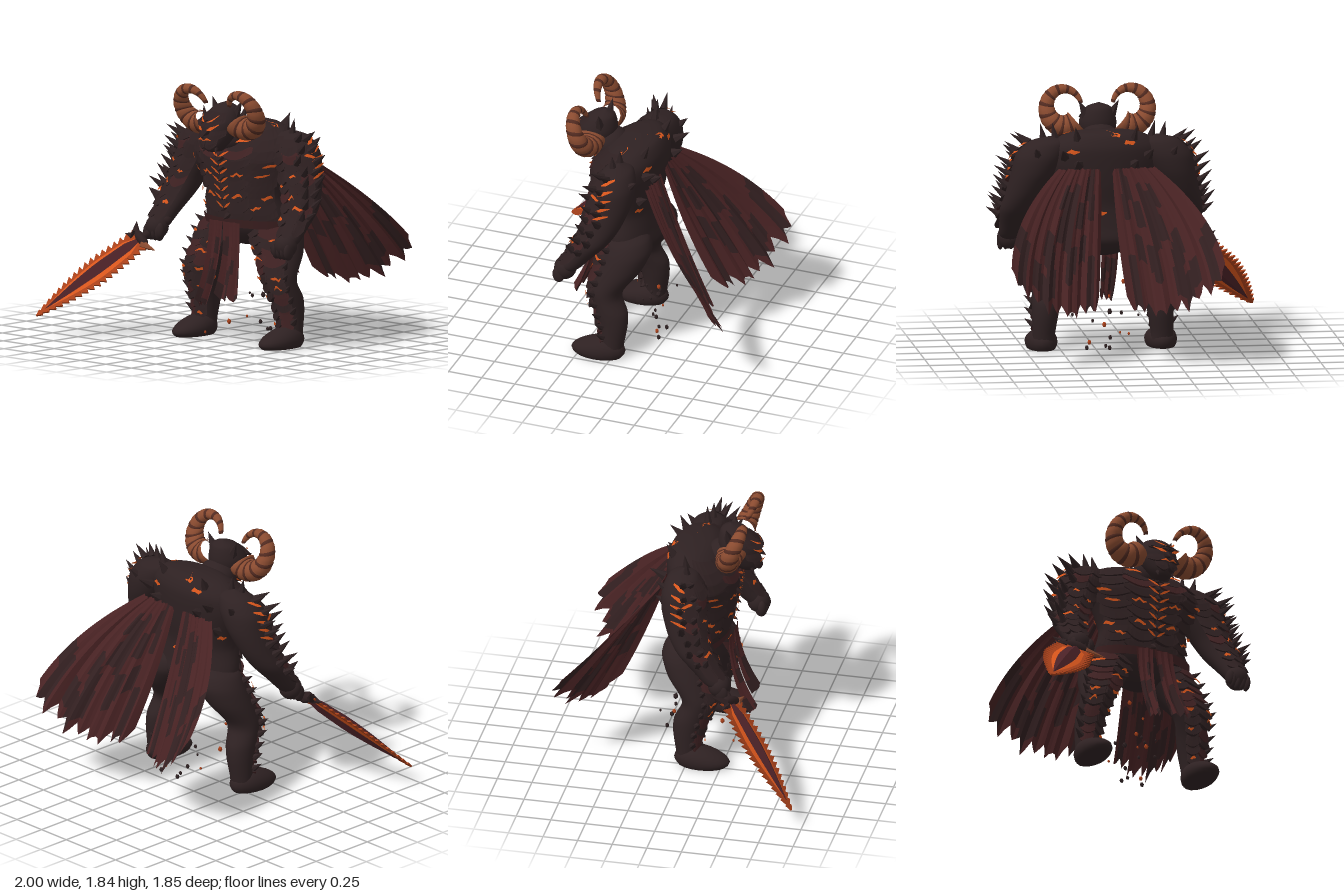
import * as THREE from 'three';
import { mergeGeometries } from 'three/addons/utils/BufferGeometryUtils.js';

const V = (x, y, z) => new THREE.Vector3(x, y, z);
const mat = (name, color, side = THREE.FrontSide) => {
  const m = new THREE.MeshStandardMaterial({ color, side });
  m.name = name;
  return m;
};

// Grid surface from a rule; u runs rightwards and v downwards when seen from outside
function grid(fn, nu, nv, closed = false, keep = () => true) {
  const pos = [], idx = [], cols = closed ? nu : nu + 1;
  for (let j = 0; j <= nv; j++) for (let i = 0; i < cols; i++) pos.push(...fn(i / nu, j / nv).toArray());
  for (let j = 0; j < nv; j++) for (let i = 0; i < nu; i++) {
    if (!keep(i, j)) continue;
    const a = j * cols + i, b = j * cols + (i + 1) % cols, c = a + cols, d = b + cols;
    idx.push(a, c, b, b, c, d);
  }
  const g = new THREE.BufferGeometry();
  g.setAttribute('position', new THREE.Float32BufferAttribute(pos, 3));
  g.setIndex(idx);
  g.computeVertexNormals();
  return g;
}
const flat = (g) => { const f = g.index ? g.toNonIndexed() : g; f.computeVertexNormals(); return f; };

// Body volume from horizontal rings [x, y, z, rx, rz], listed from the top down
function loft(rings) {
  const mid = new THREE.CatmullRomCurve3(rings.map((r) => V(r[0], r[1], r[2])), false, 'catmullrom', 0.4);
  const rad = new THREE.CatmullRomCurve3(rings.map((r) => V(r[3], r[4], 0)), false, 'catmullrom', 0.4);
  const atT = (t, a, off = 0) => {
    const c = mid.getPoint(t), r = rad.getPoint(t);
    return V(c.x + (r.x + off) * Math.sin(a), c.y, c.z + (r.y + off) * Math.cos(a));
  };
  const at = (y, a, off) => {
    let lo = 0, hi = 1;
    for (let k = 0; k < 18; k++) { const m = (lo + hi) / 2; if (mid.getPoint(m).y > y) lo = m; else hi = m; }
    return atT(lo, a, off);
  };
  return { at, geo: grid((u, v) => atT(v, u * Math.PI * 2), 28, 40, true) };
}

// Overlapping armour scale that lifts off the body towards its pointed lower edge
const plate = (body, y, h, a0, a1, flare = 0.03, slant = 0) => flat(grid((u, v) => {
  const k = Math.min(1, v * 1.5), off = v > 0.9 ? -0.005 : 0.004 + flare * k;
  return body.at(y + slant * u - k * h * (0.8 + 0.4 * Math.sin(Math.PI * u)), a0 + (a1 - a0) * u, off);
}, 6, 3));

// Thin zigzag strip on the body through points [angle, y]
const crack = (body, pts, half, lift) => flat(grid((u, v) => {
  const [a, y] = pts[Math.round(u * (pts.length - 1))];
  const w = u === 0 || u === 1 ? half * 0.3 : half;
  return body.at(y + (v < 0.5 ? w : -w), a, lift);
}, pts.length - 1, 1));

function spike(p, dir, len, r) {
  const g = new THREE.ConeGeometry(r, len, 6).translate(0, len * 0.42, 0);
  g.applyQuaternion(new THREE.Quaternion().setFromUnitVectors(V(0, 1, 0), dir.clone().normalize()));
  return flat(g.translate(p.x, p.y, p.z));
}
const ball = (x, y, z, rx, ry, rz) => new THREE.SphereGeometry(1, 18, 12).scale(rx, ry, rz).translate(x, y, z);

function mirror(g) {
  const m = g.clone().applyMatrix4(new THREE.Matrix4().makeScale(-1, 1, 1));
  for (const at of Object.values(m.attributes)) for (let i = 0; i < at.count; i += 3) for (let k = 0; k < 3; k++) {
    const q = at.getComponent(i + 1, k);
    at.setComponent(i + 1, k, at.getComponent(i + 2, k));
    at.setComponent(i + 2, k, q);
  }
  return m;
}

export function createModel() {
  let seed = 7;
  const rnd = () => (seed = (seed * 16807) % 2147483647) / 2147483647;
  const D = THREE.DoubleSide;
  const hide = mat('hide', 0x2e2122), scale = mat('scale', 0x2d1f20, D), redScale = mat('redScale', 0x3d2021, D);
  const core = mat('bladeRed', 0x4a2126), cloth = mat('cloth', 0x482223, D), stain = mat('clothStain', 0x321f20, D);
  const lava = mat('lava', 0xd9561c, D), ember = mat('deepLava', 0xa8401a, D);
  const horn = mat('horn', 0x8a4b30), band = mat('hornBand', 0x512a20);

  const model = new THREE.Group();
  model.name = 'hornedWarrior';
  const body = new THREE.Group();
  body.name = 'body';
  body.position.x = 0.2;
  model.add(body);
  const add = (name, material, geos, both = false) => {
    const parts = [geos].flat().map((g) => { const n = g.index ? g.toNonIndexed() : g; n.deleteAttribute('uv'); return n; });
    if (!parts.length) return;
    const g = mergeGeometries(parts);
    const put = (n, geo) => { const m = new THREE.Mesh(geo, material); m.name = n; body.add(m); };
    put(both ? name + 'Left' : name, g);
    if (both) put(name + 'Right', mirror(g));
  };

  // Body volumes
  const torso = loft([[0, 1.585, -0.05, 0, 0], [0, 1.56, -0.04, 0.25, 0.13], [0, 1.47, -0.01, 0.39, 0.21], [0, 1.35, 0.02, 0.42, 0.24],
    [0, 1.2, 0.02, 0.36, 0.225], [0, 1.05, 0.02, 0.32, 0.2], [0, 0.9, 0, 0.35, 0.19], [0, 0.8, -0.02, 0.33, 0.18], [0, 0.7, -0.02, 0.12, 0.1], [0, 0.68, -0.02, 0, 0]]);
  const arm = loft([[0.38, 1.54, -0.03, 0, 0], [0.4, 1.5, -0.03, 0.13, 0.1], [0.45, 1.4, -0.02, 0.175, 0.15], [0.5, 1.27, -0.01, 0.155, 0.15],
    [0.56, 1.12, 0.03, 0.13, 0.135], [0.6, 1, 0.09, 0.12, 0.12], [0.62, 0.88, 0.18, 0.092, 0.095], [0.63, 0.8, 0.24, 0.075, 0.08], [0.63, 0.75, 0.27, 0.05, 0.05]]);
  const leg = loft([[0.2, 0.92, -0.04, 0.06, 0.08], [0.22, 0.87, -0.04, 0.16, 0.15], [0.25, 0.78, -0.04, 0.185, 0.175], [0.31, 0.65, 0, 0.16, 0.16], [0.36, 0.52, 0.06, 0.13, 0.12],
    [0.38, 0.45, 0.06, 0.115, 0.105], [0.4, 0.35, 0.02, 0.102, 0.115], [0.41, 0.25, 0, 0.092, 0.1], [0.42, 0.12, 0, 0.08, 0.08], [0.42, 0.04, 0, 0.08, 0.07]]);
  const head = loft([[0, 1.73, 0.22, 0, 0], [0, 1.69, 0.24, 0.09, 0.085], [0, 1.6, 0.27, 0.13, 0.135], [0, 1.52, 0.29, 0.125, 0.14],
    [0, 1.44, 0.33, 0.09, 0.1], [0, 1.39, 0.35, 0.05, 0.06], [0, 1.38, 0.35, 0, 0]]);
  add('torso', hide, torso.geo);
  add('head', hide, [head.geo, ball(0, 1.47, 0.17, 0.14, 0.12, 0.13)]);
  add('arm', hide, arm.geo, true);
  add('leg', hide, leg.geo, true);
  const foot = ball(0.425, 0.055, 0.11, 0.115, 0.105, 0.2);
  const fp = foot.attributes.position;
  for (let i = 0; i < fp.count; i++) fp.setY(i, Math.max(0, fp.getY(i) * (1 - 1.4 * Math.max(0, fp.getZ(i) - 0.04))));
  foot.computeVertexNormals();
  add('foot', hide, foot, true);

  // Fists with four curled fingers and a thumb
  const fist = [ball(0.63, 0.77, 0.28, 0.085, 0.085, 0.08), ball(0.56, 0.75, 0.32, 0.03, 0.055, 0.03)];
  for (let i = 0; i < 4; i++) fist.push(ball(0.575 + i * 0.038, 0.735, 0.31, 0.023, 0.06, 0.045));
  add('fist', hide, fist, true);

  // Rows of scales on the front and outer sides, with glowing cracks between them
  const armour = (name, part, yTop, yEnd, step, spans, flare, slant, crackRate) => {
    const main = [], red = [], glow = [];
    for (let y = yTop; y > yEnd; y -= step) for (const [a0, a1] of spans) {
      const j = (rnd() - 0.5) * step * 0.4;
      (rnd() < 0.2 ? red : main).push(plate(part, y + j, step * 1.25, a0, a1, flare * (0.7 + 0.6 * rnd()), slant));
      if (rnd() < crackRate) {
        const a = a0 + (a1 - a0) * (0.1 + 0.4 * rnd()), w = (a1 - a0) * (0.08 + 0.08 * rnd());
        const pts = [0, 1, 2, 3, 4].map((k) => [a + k * w, y - step * 0.6 + (rnd() - 0.5) * 0.026 + k * slant * 0.1]);
        glow.push(crack(part, pts, 0.007 + 0.005 * rnd(), flare + 0.014));
      }
    }
    add(name + 'Scales', scale, main, true);
    add(name + 'RedScales', redScale, red, true);
    add(name + 'Cracks', lava, glow, true);
  };
  armour('torso', torso, 1.5, 0.86, 0.08, [[0.03, 0.6], [0.5, 1.3]], 0.03, 0.04, 0.45);
  armour('arm', arm, 1.49, 0.86, 0.07, [[-0.7, 0.1], [0, 0.75], [0.65, 1.35]], 0.024, 0.01, 0.4);
  armour('leg', leg, 0.86, 0.16, 0.065, [[-0.8, 0.05], [-0.05, 0.95]], 0.03, 0.01, 0.5);

  // Glowing ribs at the breastbone, slashes on the shoulders, and cracks on the back
  const ribs = [], slashes = [], backCracks = [];
  for (let y = 1.36; y > 0.95; y -= 0.062) ribs.push(crack(torso, [[0.01, y - 0.018], [0.08, y], [0.18, y + 0.025]], 0.011, 0.052));
  add('breastboneGlow', lava, ribs, true);
  for (let y = 1.48; y > 1.24; y -= 0.058) slashes.push(crack(arm, [[1.25, y - 0.02], [1.5, y], [1.85, y + 0.02]], 0.013, 0.03));
  add('shoulderGlow', lava, slashes, true);
  for (const [a, y] of [[2.4, 1.44], [3.5, 1.5], [4.1, 1.15], [2.9, 1.0], [2.2, 1.1], [3.3, 1.555], [1.2, 1.555]])
    backCracks.push(crack(torso, [[a, y], [a + 0.08, y + 0.012], [a + 0.16, y + 0.002], [a + 0.26, y + 0.01]], 0.014, 0.008));
  add('backCracks', lava, backCracks);
  const knobs = [];
  for (let y = 1.4; y > 0.9; y -= 0.07) knobs.push(spike(torso.at(y, 0, 0.02), V(0, -0.5, 1), 0.06, 0.025));
  add('breastboneSpikes', scale, knobs);

  // Face
  add('faceScales', scale, [plate(head, 1.67, 0.07, 0.02, 0.9, 0.025, -0.01), plate(head, 1.6, 0.035, 0.02, 0.75, 0.035, 0.03),
    plate(head, 1.53, 0.05, 0.25, 1.1, 0.02, 0.02), plate(head, 1.47, 0.06, 0.05, 0.8, 0.025, 0.02), spike(V(0, 1.53, 0.43), V(0, -0.6, 1), 0.06, 0.03)], true);
  add('eye', lava, [crack(head, [[0.14, 1.545], [0.35, 1.56], [0.66, 1.59]], 0.015, 0.032), crack(head, [[0.08, 1.6], [0.3, 1.615], [0.55, 1.65]], 0.008, 0.036),
    crack(head, [[0, 1.47], [0.2, 1.485], [0.45, 1.475]], 0.008, 0.03)], true);
  add('browSpike', hide, [spike(V(0.09, 1.64, 0.23), V(0.5, 1, -0.1), 0.13, 0.04), spike(V(0.05, 1.42, 0.38), V(0.3, -1, 0.6), 0.06, 0.02)], true);

  // Curled ram horns with dark bands
  const hornBand = (t0, t1) => grid((u, v) => {
    const t = t0 + (t1 - t0) * v, g = -2.3 + 5.2 * t, b = u * Math.PI * 2;
    const r = (0.088 - 0.074 * t) * (1 + 0.06 * Math.sin(Math.PI * v)), R = 0.125 + r * Math.cos(b);
    return V(0.235 + R * Math.cos(g), 1.68 + R * Math.sin(g), 0.305 + 0.05 * Math.sin(g) + r * 1.12 * Math.sin(b));
  }, 14, 3, true);
  const light = [], dark = [];
  for (let i = 0; i < 10; i++) { light.push(hornBand(i / 10, (i + 0.7) / 10)); dark.push(hornBand((i + 0.7) / 10, (i + 1) / 10)); }
  add('horn', horn, light, true);
  add('hornBands', band, dark, true);

  // Spikes on arms, shoulders, back and legs
  const spikes = [];
  for (let y = 1.49; y > 0.95; y -= 0.075) for (const a of [0.8, 1.4]) {
    const p = arm.at(y, a + (rnd() - 0.5) * 0.3, 0.015);
    spikes.push(spike(p, V(Math.sin(a), 0.5 + 0.4 * rnd(), Math.cos(a) * 0.6), 0.1 + 0.04 * rnd(), 0.03));
  }
  for (let y = 0.82; y > 0.15; y -= 0.08) spikes.push(spike(leg.at(y, 0.95, 0.01), V(1, 0.7, 0.4), 0.08, 0.026));
  for (const [x, y, z, l] of [[0.42, 1.5, 0, 0.14], [0.34, 1.51, -0.02, 0.14], [0.2, 1.53, -0.14, 0.12], [0.3, 1.42, -0.2, 0.12], [0.48, 1.42, -0.14, 0.1], [0.36, 1.25, -0.18, 0.08], [0.2, 1.36, -0.22, 0.08]])
    spikes.push(spike(V(x, y, z), V(0.2, y > 1.49 ? 1 : 0.5, z * 4), l, 0.036));
  add('spikes', hide, spikes, true);

  // Torn cloth: top and middle edges are lines, the hem is a curve; stains take blocks of cells
  const drape = (name, top, mid, hem, folds, depth, both) => {
    const lerp = (e, u) => e[0].clone().lerp(e[1], u), curve = new THREE.QuadraticBezierCurve3(...hem);
    const n = folds * 4, rows = 16, stains = new Set();
    for (let k = 0; k < n * rows * 0.05; k++) {
      const i = Math.floor(rnd() * n), j = Math.floor(rnd() * rows);
      for (let q = 0; q < 9; q++) if (i + q % 3 < n) stains.add(i + q % 3 + (j + Math.floor(q / 3)) * n);
    }
    const tears = Array.from({ length: n + 1 }, (_, i) => (i % 4 === 2 ? 1 : i % 4 === 0 ? 0.965 : 0.985) + 0.03 * rnd());
    const fn = (u, v) => {
      const t = v * (v > 0.95 ? tears[Math.round(u * n)] : 1), s = 1 - t;
      const p = lerp(top, u).multiplyScalar(s * s).addScaledVector(lerp(mid, u), 2 * s * t).addScaledVector(curve.getPoint(u), t * t);
      const w = (Math.cos(u * folds * 6.28) + 1.2 * Math.cos(u * folds * 2.7 + 1)) * depth * (0.25 + v);
      return p.add(V(0, w * 0.6, w));
    };
    add(name, cloth, flat(grid(fn, n, rows, false, (i, j) => !stains.has(i + j * n))), both);
    add(name + 'Stains', stain, flat(grid(fn, n, rows, false, (i, j) => stains.has(i + j * n))), both);
  };
  drape('cape', [V(0.04, 1.33, -0.21), V(0.34, 1.33, -0.22)], [V(0.05, 0.85, -0.36), V(0.72, 1.03, -0.56)],
    [V(0.1, 0.44, -0.58), V(0.42, 0.27, -0.8), V(0.76, 0.7, -0.89)], 9, 0.018, true);
  drape('loinclothRight', [V(-0.15, 0.87, 0.24), V(-0.02, 0.87, 0.25)], [V(-0.15, 0.55, 0.25), V(-0.03, 0.55, 0.26)],
    [V(-0.13, 0.3, 0.4), V(-0.08, 0.28, 0.41), V(-0.03, 0.3, 0.4)], 3, 0.011, false);
  drape('loinclothLeft', [V(-0.01, 0.87, 0.25), V(0.14, 0.87, 0.24)], [V(0.02, 0.6, 0.25), V(0.15, 0.6, 0.25)],
    [V(0.04, 0.36, 0.38), V(0.12, 0.32, 0.39), V(0.23, 0.36, 0.36)], 3, 0.011, false);
  add('belt', redScale, grid((u, v) => torso.at(0.89 - 0.06 * v, -1.3 + 2.6 * u, 0.035), 20, 1));

  // Great blade in the right hand: a flat toothed edge around two diamond-section layers
  const leaf = (t) => (0.78 + 0.22 * Math.min(1, t / 0.35)) * (1 - Math.max(0, (t - 0.4) / 0.6) ** 1.6);
  const teeth = () => {
    const n = 36, right = [];
    for (let i = 0; i <= n; i++) {
      const t = i / n, f = leaf(t), odd = i % 2;
      right.push([0.112 * f + odd * (0.022 + 0.033 * f), t * 0.91 - odd * 0.016]);
    }
    const pts = [...right, ...right.slice(0, -1).reverse().map(([x, y]) => [-x, y])].map(([x, y]) => new THREE.Vector2(x, y));
    return flat(new THREE.ExtrudeGeometry(new THREE.Shape(pts), { depth: 0.012, bevelEnabled: false }).translate(0, 0, -0.006));
  };
  const diamond = (half, thick, length) => flat(grid((u, v) => {
    const a = u * Math.PI * 2, t = 1 - v, f = leaf(t) * Math.min(1, 0.4 + t * 5);
    return V(half * f * Math.sin(a), t * length, thick * f * Math.cos(a));
  }, 4, 24, true));
  const d = V(-0.538, -0.593, 0.604).normalize(), w = V(0.844, -0.376, 0.383);
  w.addScaledVector(d, -w.dot(d)).normalize();
  const pose = new THREE.Matrix4().makeBasis(w, d, w.clone().cross(d)).setPosition(-0.7, 0.68, 0.38);
  const place = (name, m, geos) => add(name, m, geos.map((g) => g.applyMatrix4(pose)));
  place('bladeTeeth', ember, [teeth()]);
  place('bladeGlow', lava, [diamond(0.122, 0.03, 0.9)]);
  place('bladeCore', core, [diamond(0.09, 0.046, 0.88)]);
  place('swordGrip', scale, [new THREE.CylinderGeometry(0.025, 0.03, 0.24, 10).translate(0, -0.1, 0), ball(0, -0.23, 0, 0.04, 0.04, 0.04),
    ball(0, -0.01, 0, 0.1, 0.035, 0.045), spike(V(-0.09, 0, 0), V(-1, -0.5, 0), 0.13, 0.035), spike(V(-0.08, 0.03, 0), V(-1, 0.4, 0), 0.1, 0.03)]);
  place('swordGuardHorn', horn, [spike(V(0.08, 0, 0), V(1, -0.35, 0), 0.15, 0.032)]);

  // Drifting cinders
  const cinders = [[], []];
  for (let i = 0; i < 20; i++) {
    const r = 0.008 + 0.01 * rnd();
    cinders[i % 3 ? 0 : 1].push(flat(new THREE.IcosahedronGeometry(r, 0).scale(1, 1.3, 1)
      .translate(-0.25 + 0.5 * rnd(), 0.05 + 0.45 * rnd(), (i % 6 ? -0.25 : 0.16) + 0.12 * rnd())));
  }
  add('cinders', hide, cinders[0]);
  add('hotCinders', ember, cinders[1]);
  return model;
}
